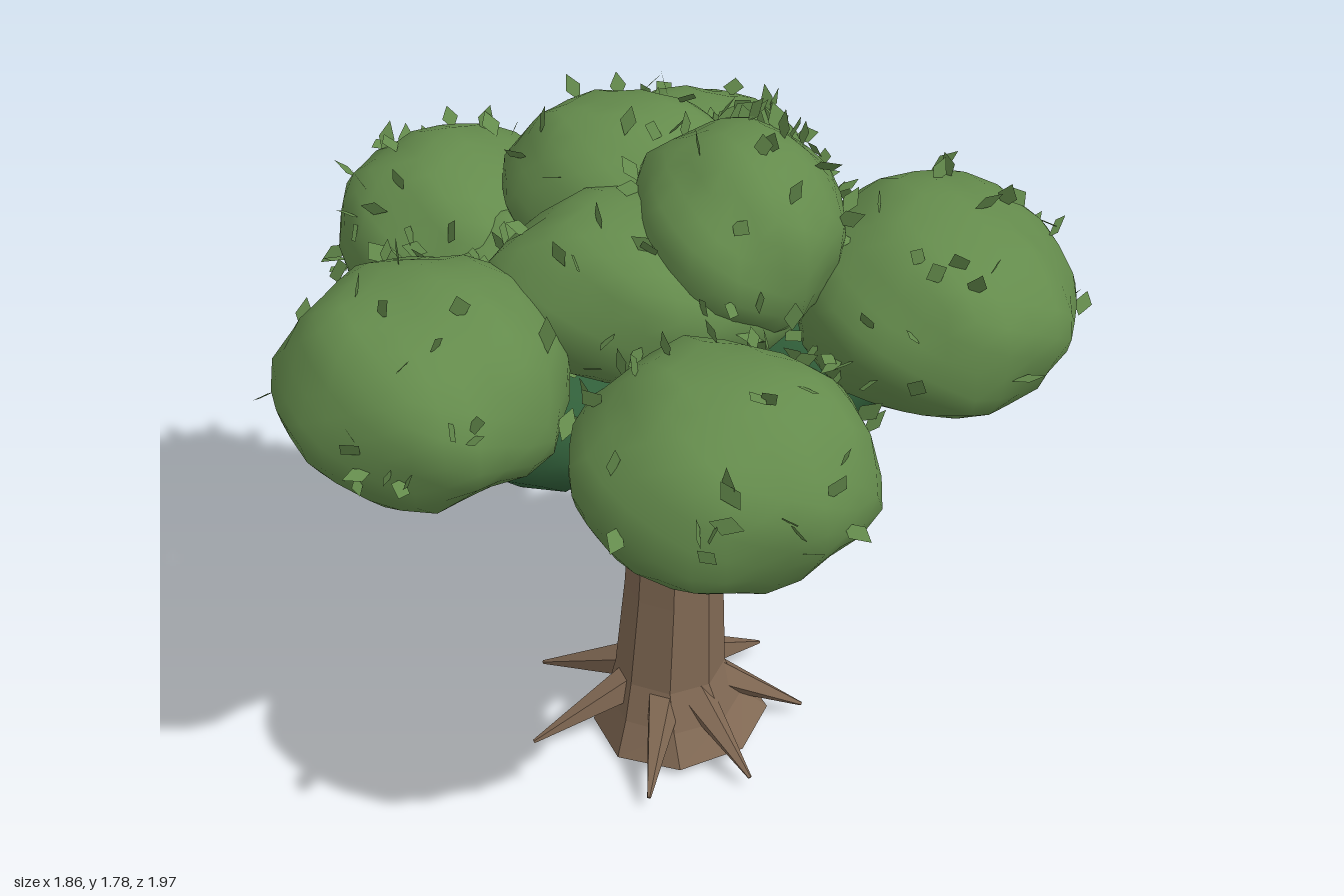
import * as THREE from 'three';
import { mergeGeometries, mergeVertices } from 'three/addons/utils/BufferGeometryUtils.js';

// centre x, y, z, then radii x, y, z
const CROWN = [
  [0.03, 1.2, -0.66, 0.29, 0.23, 0.3],
  [0.04, 1.23, -0.42, 0.27, 0.2, 0.19],
  [-0.56, 1.28, -0.3, 0.28, 0.23, 0.3],
  [-0.42, 1.24, -0.13, 0.2, 0.19, 0.17],
  [-0.58, 1.28, 0.36, 0.32, 0.25, 0.33],
  [0.07, 1.24, 0.63, 0.33, 0.25, 0.3],
  [0.55, 1.31, 0.05, 0.32, 0.25, 0.35],
  [0.1, 1.51, 0.1, 0.24, 0.23, 0.28],
  [0.1, 1.42, -0.17, 0.2, 0.2, 0.18],
  [-0.15, 1.46, -0.18, 0.28, 0.22, 0.24],
  [-0.1, 1.39, 0.14, 0.35, 0.21, 0.26],
];
const UNDER = [
  [-0.34, 1.03, 0.09, 0.25, 0.17, 0.23],
  [0.08, 1.04, 0.3, 0.27, 0.19, 0.25],
  [0.25, 1.05, -0.13, 0.26, 0.2, 0.25],
  [-0.12, 1.06, -0.32, 0.26, 0.17, 0.23],
];

function seeded(seed) {
  return () => {
    seed = (seed * 1664525 + 1013904223) % 4294967296;
    return seed / 4294967296;
  };
}

// Ellipsoid with soft lumps and small dents
function surfacePoint(dir, [cx, cy, cz, rx, ry, rz], seed) {
  const { x, y, z } = dir;
  const r = 1 + 0.025 * Math.sin(3.5 * x + seed * 2.1) * Math.cos(4 * z + seed)
    + 0.025 * Math.sin(6 * y + 5 * x - seed * 1.3) + 0.025 * Math.sin(8 * z - 6 * x + seed * 3)
    + 0.012 * Math.sin(13 * x + 7 * y + seed) * Math.cos(12 * z - 6 * y);
  return new THREE.Vector3(cx + x * rx * r, cy + y * ry * r, cz + z * rz * r);
}

function blobGeometry(blob, seed, detail) {
  let geo = new THREE.IcosahedronGeometry(1, detail);
  geo.deleteAttribute('uv');
  geo.deleteAttribute('normal');
  geo = mergeVertices(geo, 1e-4);
  const pos = geo.attributes.position;
  const v = new THREE.Vector3();
  for (let i = 0; i < pos.count; i++) {
    v.fromBufferAttribute(pos, i).normalize();
    const q = surfacePoint(v, blob, seed);
    pos.setXYZ(i, q.x, q.y, q.z);
  }
  geo.computeVertexNormals();
  return geo;
}

// Diamond leaves over the outer skin of the crown
function leafGeometry() {
  const rand = seeded(17);
  const leaves = [];
  const up = new THREE.Vector3(0, 1, 0);
  const inside = (p, skip) => CROWN.some((b, j) => j !== skip
    && ((p.x - b[0]) / b[3]) ** 2 + ((p.y - b[1]) / b[4]) ** 2 + ((p.z - b[2]) / b[5]) ** 2 < 1);
  CROWN.forEach((blob, i) => {
    for (let n = 0; n < 42; n++) {
      const y = -0.35 + 1.3 * rand();
      const a = rand() * Math.PI * 2;
      const s = Math.sqrt(1 - y * y);
      const dir = new THREE.Vector3(Math.cos(a) * s, y, Math.sin(a) * s);
      const p = surfacePoint(dir, blob, i + 1);
      if (inside(p, i)) continue;
      const w = 0.018 + rand() * 0.008;
      const h = 0.028 + rand() * 0.014;
      const leaf = new THREE.BufferGeometry();
      leaf.setAttribute('position', new THREE.Float32BufferAttribute(
        [0, -h, 0, w, 0, 0, 0, h, 0, -w, 0, 0], 3));
      leaf.setIndex([0, 1, 2, 0, 2, 3]);
      leaf.computeVertexNormals();
      const lean = dir.clone().add(new THREE.Vector3(rand() - 0.5, rand() - 0.3, rand() - 0.5)
        .multiplyScalar(2)).normalize();
      leaf.rotateY(rand() * Math.PI * 2);
      leaf.applyQuaternion(new THREE.Quaternion().setFromUnitVectors(up, lean));
      p.addScaledVector(dir, 0.018);
      leaf.translate(p.x, p.y, p.z);
      leaves.push(leaf);
    }
  });
  return mergeGeometries(leaves);
}

// Flared trunk, open below: rings of height, centre x, radius
function trunkGeometry() {
  const rings = [[0.025, -0.025, 0.222], [0.1, -0.04, 0.172], [0.2, -0.05, 0.138],
    [0.45, -0.04, 0.122], [0.7, -0.035, 0.11], [0.9, -0.02, 0.102], [1.05, 0, 0.1]];
  const geo = new THREE.CylinderGeometry(1, 1, 1, 8, rings.length - 1, true);
  const pos = geo.attributes.position;
  for (let i = 0; i < pos.count; i++) {
    const k = Math.round((pos.getY(i) + 0.5) * (rings.length - 1));
    const [y, cx, r] = rings[k];
    const tilt = k === 0 ? 0.02 * pos.getX(i) : 0;
    pos.setXYZ(i, cx + pos.getX(i) * r, y + tilt, pos.getZ(i) * r);
  }
  return geo;
}

// Tapered limb between two points
function limb(from, to, r0, r1, sides, material, name) {
  const a = new THREE.Vector3(...from);
  const d = new THREE.Vector3(...to).sub(a);
  const geo = new THREE.CylinderGeometry(r1, r0, d.length(), sides);
  geo.translate(0, d.length() / 2, 0);
  const mesh = new THREE.Mesh(geo, material);
  mesh.quaternion.setFromUnitVectors(new THREE.Vector3(0, 1, 0), d.normalize());
  mesh.position.copy(a);
  mesh.name = name;
  return mesh;
}

export function createModel() {
  const bark = new THREE.MeshStandardMaterial({
    color: 0x806853, flatShading: true, side: THREE.DoubleSide });
  bark.name = 'bark brown';
  const green = new THREE.MeshStandardMaterial({ color: 0x648b4c, side: THREE.DoubleSide });
  green.name = 'leaf green';
  const dark = new THREE.MeshStandardMaterial({ color: 0x315f3a });
  dark.name = 'shade green';

  const tree = new THREE.Group();
  tree.name = 'tree';

  const trunk = new THREE.Mesh(trunkGeometry(), bark);
  trunk.name = 'trunk';
  tree.add(trunk);

  // Spiky roots around the foot
  const roots = new THREE.Group();
  roots.name = 'roots';
  for (let i = 0; i < 7; i++) {
    const a = (i / 7) * Math.PI * 2 + 0.08 * Math.sin(i * 2.3);
    const c = Math.cos(a), s = Math.sin(a);
    const reach = 0.355 - 0.02 * c;
    roots.add(limb([-0.05 + c * 0.09, 0.17, s * 0.09],
      [-0.05 + c * reach, 0.04, s * reach - 0.015], 0.05, 0.005, 5, bark, 'root'));
  }
  tree.add(roots);

  // Branches rising into the crown
  const branches = new THREE.Group();
  branches.name = 'branches';
  const branchEnds = [[-0.27, 0.95, 0.06], [0.06, 0.98, 0.22], [0.17, 0.98, -0.06], [-0.08, 0.98, -0.22]];
  for (const [x, y, z] of branchEnds) {
    branches.add(limb([x * 0.25 - 0.02, 0.71, z * 0.25], [x, y, z], 0.052, 0.04, 6, bark, 'branch'));
  }
  tree.add(branches);

  // Shaded lower foliage
  const under = new THREE.Group();
  under.name = 'lowerFoliage';
  UNDER.forEach((b, i) => {
    const m = new THREE.Mesh(blobGeometry(b, i + 20, 2), dark);
    m.name = 'lowerClump';
    under.add(m);
  });
  tree.add(under);

  // Main crown
  const crown = new THREE.Group();
  crown.name = 'crown';
  CROWN.forEach((b, i) => {
    const m = new THREE.Mesh(blobGeometry(b, i + 1, 4), green);
    m.name = 'crownClump';
    crown.add(m);
  });
  const leaves = new THREE.Mesh(leafGeometry(), green);
  leaves.name = 'looseLeaves';
  crown.add(leaves);
  tree.add(crown);

  return tree;
}
